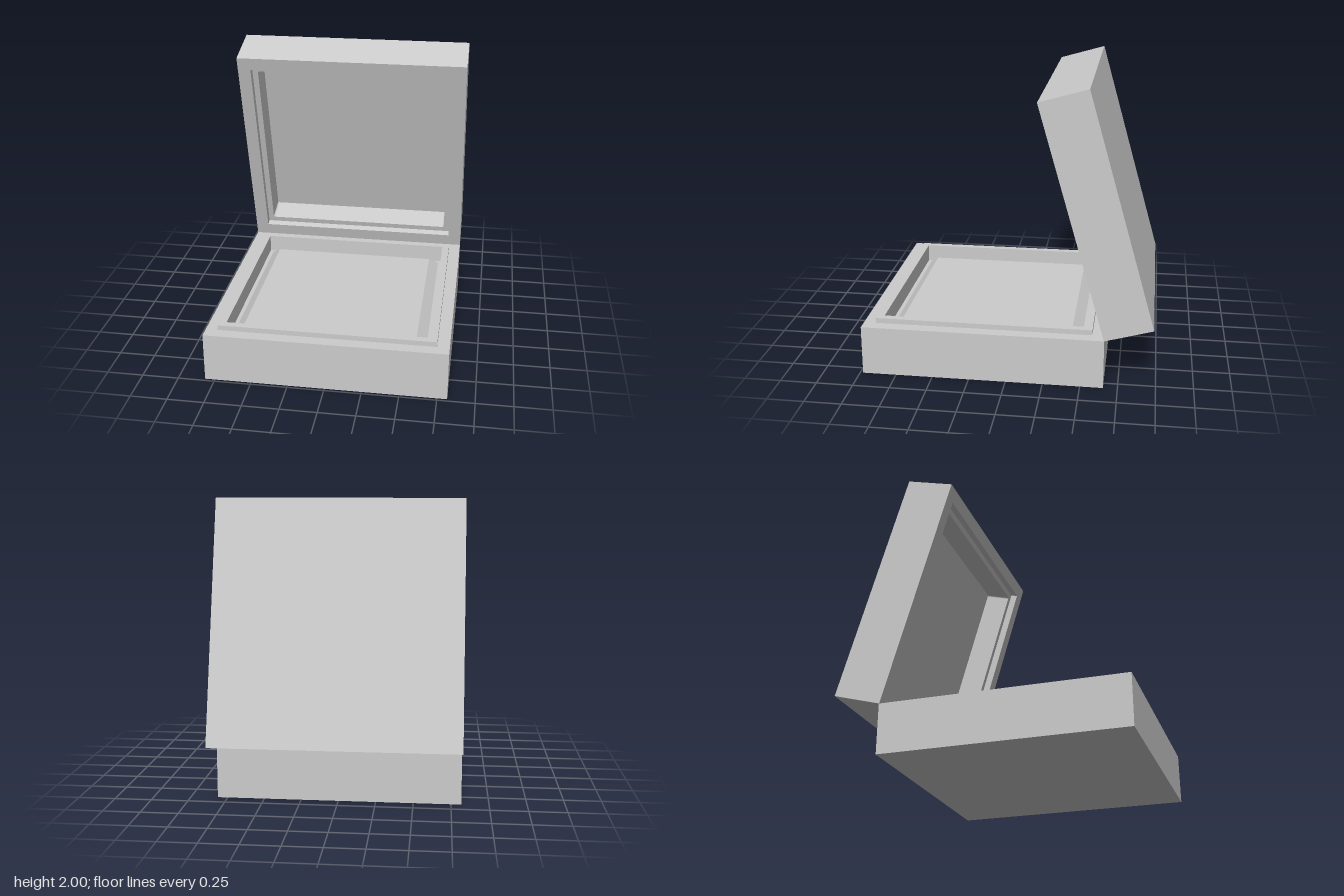
import * as THREE from 'three';

const HALF = 0.8175;

// Square outline with optional rounded corners
function square(path, h, r = 0) {
  if (!r) {
    path.moveTo(-h, -h).lineTo(h, -h).lineTo(h, h).lineTo(-h, h).closePath();
    return path;
  }
  path.absarc(h - r, h - r, r, 0, Math.PI / 2);
  path.absarc(r - h, h - r, r, Math.PI / 2, Math.PI);
  path.absarc(r - h, r - h, r, Math.PI, Math.PI * 1.5);
  path.absarc(h - r, r - h, r, Math.PI * 1.5, Math.PI * 2);
  path.closePath();
  return path;
}

export function createModel() {
  const grey = new THREE.MeshStandardMaterial({ color: 0xcccccc });
  grey.name = 'light grey';

  const add = (parent, name, geometry) => {
    const mesh = new THREE.Mesh(geometry, grey);
    mesh.name = name;
    parent.add(mesh);
    return mesh;
  };

  // Square frame lying flat between two heights
  const frame = (parent, name, outer, inner, y0, y1, r = 0) => {
    const shape = square(new THREE.Shape(), outer);
    shape.holes.push(square(new THREE.Path(), inner, r));
    const geometry = new THREE.ExtrudeGeometry(shape, { depth: y1 - y0, bevelEnabled: false, curveSegments: 4 });
    geometry.rotateX(-Math.PI / 2).translate(0, y0, 0);
    return add(parent, name, geometry);
  };

  const slab = (parent, name, y0, y1) =>
    add(parent, name, new THREE.BoxGeometry(2 * HALF, y1 - y0, 2 * HALF).translate(0, (y0 + y1) / 2, 0));

  const model = new THREE.Group();
  model.name = 'hingedBox';

  // Base: solid bottom, walls and raised lip
  const base = new THREE.Group();
  base.name = 'base';
  base.position.z = 0.1625;
  slab(base, 'baseBottom', 0, 0.25);
  frame(base, 'baseWalls', HALF, 0.685, 0.25, 0.34);
  frame(base, 'baseLip', 0.735, 0.685, 0.34, 0.375);

  // Raised pad with sloping sides
  const pad = new THREE.CylinderGeometry(0.59 * Math.SQRT2, 0.658 * Math.SQRT2, 0.06, 4, 1, false, Math.PI / 4).toNonIndexed();
  pad.computeVertexNormals();
  pad.translate(0, 0.28, 0);
  add(base, 'cushion', pad);
  model.add(base);

  // Lid: built closed with its hinge edge at the origin, then swung open
  const lid = new THREE.Group();
  lid.name = 'lid';
  lid.position.set(0, 0.34, -0.653);
  lid.rotation.x = THREE.MathUtils.degToRad(-74.1);
  const shell = new THREE.Group();
  shell.name = 'lidShell';
  shell.position.z = HALF;
  frame(shell, 'lidRim', HALF, 0.725, 0, 0.05);
  frame(shell, 'lidWalls', HALF, 0.685, 0.05, 0.235, 0.015);
  slab(shell, 'lidTop', 0.235, 0.335);
  lid.add(shell);
  model.add(lid);

  return model;
}
